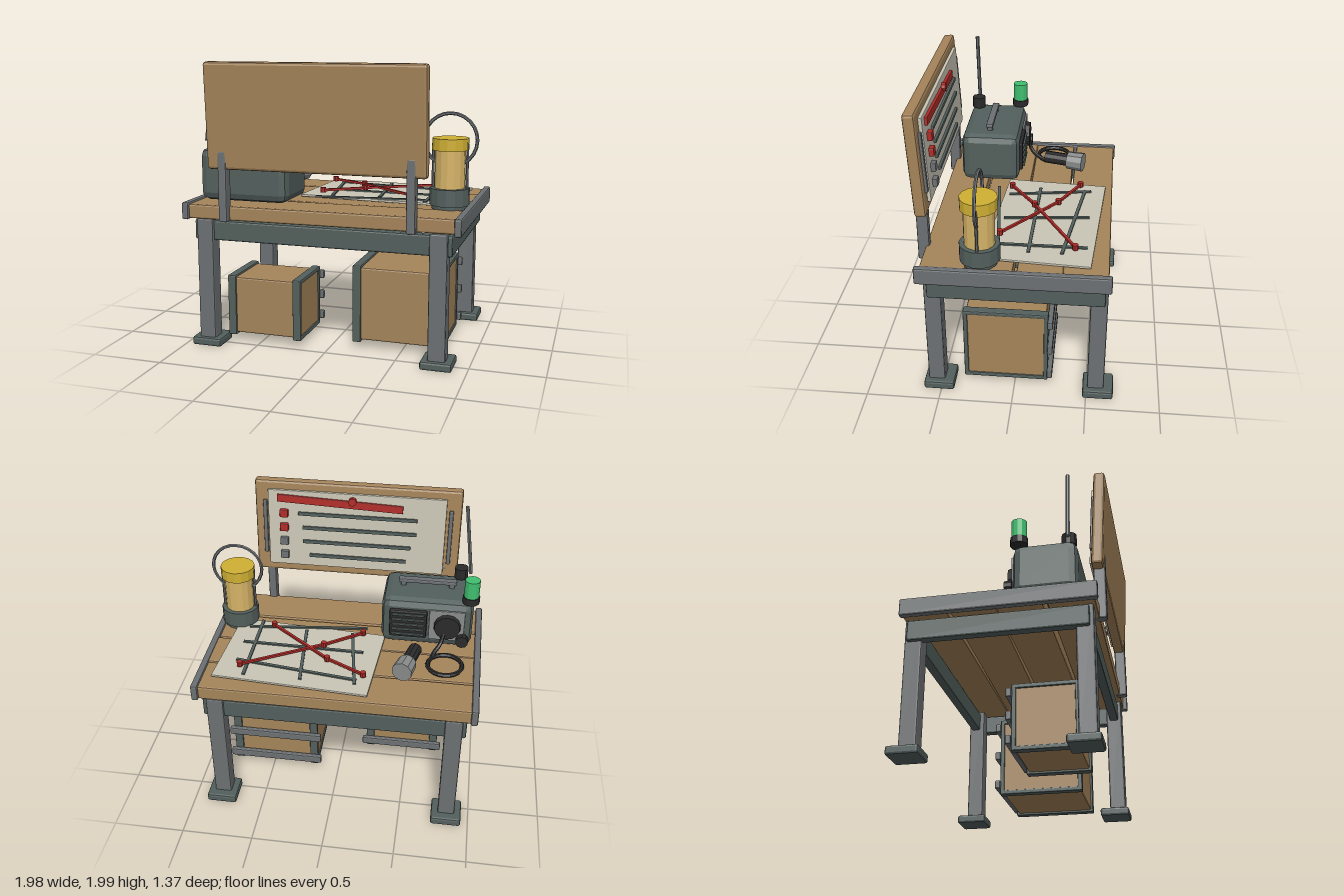
import * as THREE from 'three';
import { RoundedBoxGeometry } from 'three/addons/geometries/RoundedBoxGeometry.js';

const mat = (color) => new THREE.MeshStandardMaterial({ color, flatShading: true });
const wood = mat(0xa5845a), steel = mat(0x6c7072), dark = mat(0x53605d), black = mat(0x2a2a2a);
const cream = mat(0xcac6b6), red = mat(0xb02c28), green = mat(0x40c070);
const gold = mat(0xd0b034), glass = mat(0xd6b468), grey = mat(0x8a8c8c);

export function createModel() {
  const root = new THREE.Group();

  function add(name, geometry, material, pos, parent = root) {
    const m = new THREE.Mesh(geometry, material);
    m.name = name;
    m.position.set(...pos);
    parent.add(m);
    return m;
  }
  // Chamfered box from centre and size
  function box(name, material, pos, size, parent = root, bevel = 0.012) {
    const r = Math.min(bevel, Math.min(...size) / 4);
    return add(name, new RoundedBoxGeometry(...size, 1, r), material, pos, parent);
  }
  // Chamfered box from its limits on each axis
  function span(name, material, [x0, x1], [y0, y1], [z0, z1], parent = root, bevel) {
    return box(name, material, [(x0 + x1) / 2, (y0 + y1) / 2, (z0 + z1) / 2],
      [x1 - x0, y1 - y0, z1 - z0], parent, bevel);
  }
  const cyl = (name, material, pos, rTop, rBottom, h, sides = 12, parent = root) =>
    add(name, new THREE.CylinderGeometry(rTop, rBottom, h, sides), material, pos, parent);
  // Flat strip lying between two (x, z) points
  function strip(name, material, [x0, z0], [x1, z1], y, w, h) {
    const m = add(name, new THREE.BoxGeometry(Math.hypot(x1 - x0, z1 - z0), h, w), material,
      [(x0 + x1) / 2, y, (z0 + z1) / 2]);
    m.rotation.y = -Math.atan2(z1 - z0, x1 - x0);
  }

  // Table legs, feet and apron
  for (const x of [-0.84, 0.797]) {
    for (const z of [0.535, -0.563]) {
      box('leg', steel, [x, 0.49, z], [0.12, 0.87, 0.115]);
      box('foot', dark, [x, 0.04, z + (z > 0 ? -0.02 : -0.017)], [0.215, 0.06, 0.21], root, 0.018);
    }
  }
  for (const x of [-0.893, 0.853]) box('sideApron', dark, [x, 0.84, -0.018], [0.065, 0.14, 1.17]);
  for (const z of [0.535, -0.57]) box('longApron', dark, [-0.02, 0.84, z], [1.8, 0.14, 0.065]);

  // Table top planks, slightly uneven, with end rails
  const plankYaw = [-0.006, 0.008, -0.008, 0.005];
  [-0.475, -0.17, 0.14, 0.455].forEach((z, i) => {
    const plank = box('plank', wood, [-0.02, 0.973 + (i % 2) * 0.003, z], [1.87, 0.1, 0.297]);
    plank.rotation.y = plankYaw[i];
    plank.rotation.z = plankYaw[i] * 0.6;
  });
  for (const x of [-0.97, 0.927]) box('endRail', steel, [x, 0.977, -0.005], [0.048, 0.12, 1.27]);

  // Notice board on two posts
  for (const x of [-0.673, 0.627]) box('boardPost', steel, [x, 1.165, 0.615], [0.062, 0.49, 0.08]);
  const board = new THREE.Group();
  board.name = 'noticeBoard';
  board.position.set(-0.025, 1.64, 0.628);
  board.rotation.x = 0.055;
  root.add(board);
  box('boardPanel', wood, [0, 0, 0], [1.51, 0.718, 0.078], board, 0.025);
  box('boardPaper', cream, [0.005, 0, -0.05], [1.3, 0.59, 0.025], board, 0.005);
  for (const x of [-0.68, 0.68]) box('boardClip', steel, [x, 0, -0.043], [0.03, 0.42, 0.03], board);
  const header = box('headerStrip', red, [0.125, 0.222, -0.072], [0.92, 0.055, 0.022], board, 0.004);
  header.rotation.z = 0.04;
  cyl('boardPin', red, [0.03, 0.25, -0.088], 0.03, 0.03, 0.03, 8, board).rotation.x = Math.PI / 2;
  [[0.43, -0.44], [0.4, -0.44], [0.4, -0.4], [0.35, -0.37]].forEach(([x1, x0], i) => {
    const y = 0.125 - i * 0.11;
    box('listMark', i < 2 ? red : steel, [0.535, y, -0.078], [0.06, 0.058, 0.035], board, 0.005);
    box('listLine', dark, [(x0 + x1) / 2, y, -0.07], [x1 - x0, 0.025, 0.02], board, 0.004);
  });

  // Map sheet with grid lines, routes and pins
  const sheet = box('mapSheet', cream, [0.27, 1.038, -0.18], [1.09, 0.016, 0.717], root, 0.004);
  sheet.rotation.y = -0.069;
  [[[-0.157, -0.425], [0.705, -0.305]], [[-0.165, -0.1], [0.705, -0.085]],
    [[-0.16, 0.205], [0.705, 0.11]], [[-0.15, -0.47], [-0.06, 0.12]],
    [[0.225, -0.47], [0.28, 0.12]], [[0.62, -0.47], [0.62, 0.2]],
  ].forEach(([a, b]) => strip('mapLine', dark, a, b, 1.05, 0.022, 0.012));
  for (const route of [[[-0.2, -0.39], [0.07, -0.245], [0.52, 0.12]],
    [[-0.14, 0.105], [0.12, -0.08], [0.66, -0.39]]]) {
    route.forEach((p, i) => {
      cyl('mapPin', red, [p[0], 1.08, p[1]], 0.021, 0.021, 0.036, 8);
      if (i) strip('mapRoute', red, route[i - 1], p, 1.077, 0.018, 0.016);
    });
  }

  // Lantern
  const lantern = new THREE.Group();
  lantern.name = 'lantern';
  lantern.position.set(0.795, 0, 0.218);
  root.add(lantern);
  cyl('lanternBase', dark, [0, 1.108, 0], 0.134, 0.134, 0.115, 14, lantern);
  cyl('lanternFoot', dark, [0, 1.04, 0], 0.12, 0.12, 0.03, 14, lantern);
  cyl('lanternGlass', glass, [0, 1.3, 0], 0.102, 0.102, 0.28, 14, lantern);
  cyl('lanternCap', gold, [0, 1.46, 0], 0.122, 0.122, 0.08, 14, lantern);
  for (const s of [-1, 1]) cyl('lanternRod', steel, [s * 0.115, 1.31, 0], 0.01, 0.01, 0.31, 6, lantern);
  add('lanternHandle', new THREE.TorusGeometry(0.178, 0.012, 6, 24), steel, [0, 1.485, 0], lantern);

  // Radio with front panel, grille, speaker, handle, lamp and aerial
  span('radioBody', dark, [-0.915, -0.27], [1.035, 1.4], [0.075, 0.5], root, 0.055);
  span('radioPanel', grey, [-0.86, -0.61], [1.1, 1.34], [0.062, 0.085]);
  span('grille', black, [-0.595, -0.33], [1.11, 1.33], [0.05, 0.09]);
  for (let i = 0; i < 5; i++) box('grilleSlat', dark, [-0.462, 1.14 + i * 0.04, 0.045], [0.23, 0.014, 0.016]);
  cyl('speaker', black, [-0.74, 1.22, 0.055], 0.09, 0.1, 0.05, 14).rotation.x = -Math.PI / 2;
  cyl('tuningKnob', black, [-0.85, 1.12, 0.045], 0.045, 0.045, 0.05, 10).rotation.x = Math.PI / 2;
  span('radioHandle', steel, [-0.785, -0.37], [1.425, 1.455], [0.275, 0.325]);
  for (const x of [-0.75, -0.405]) box('handleStub', steel, [x, 1.415, 0.3], [0.04, 0.05, 0.04]);
  cyl('lampBase', black, [-0.89, 1.427, 0.12], 0.06, 0.06, 0.05, 12);
  cyl('lamp', green, [-0.89, 1.515, 0.12], 0.053, 0.053, 0.13, 12);
  cyl('aerialBase', black, [-0.81, 1.45, 0.438], 0.05, 0.05, 0.08, 10);
  cyl('aerial', steel, [-0.845, 1.71, 0.438], 0.014, 0.014, 0.53, 6).rotation.z = -0.125;

  // Coiled cable on the table
  add('cableCoil', new THREE.TorusGeometry(0.12, 0.016, 6, 20), black, [-0.745, 1.045, -0.16])
    .rotation.x = Math.PI / 2;
  const path = new THREE.CatmullRomCurve3([[-0.645, 1.045, -0.1], [-0.66, 1.06, -0.05],
    [-0.7, 1.1, 0.01], [-0.72, 1.17, 0.04]].map((p) => new THREE.Vector3(...p)));
  add('cable', new THREE.TubeGeometry(path, 10, 0.015, 6), black, [0, 0, 0]);

  // Torch lying on the table, its head towards the back
  const torch = new THREE.Group();
  torch.name = 'torch';
  torch.position.set(-0.476, 1.13, -0.34);
  torch.rotation.set(-Math.PI / 2, 0, -0.25);
  root.add(torch);
  cyl('torchHead', grey, [0, 0, 0], 0.072, 0.066, 0.12, 10, torch);
  cyl('torchBody', black, [0, -0.14, 0], 0.047, 0.047, 0.19, 10, torch);

  // Crates: wooden body, a frame round each end and rails across the back
  function crate([x0, x1], [y0, y1], [z0, z1], railHeights) {
    const g = new THREE.Group();
    g.name = 'crate';
    root.add(g);
    const t = 0.03, w = 0.06;
    span('crateBody', wood, [x0 + 0.01, x1 - 0.01], [y0 + 0.015, y1 - 0.015], [z0 + 0.015, z1 - 0.015], g);
    for (const ends of [[x0, x0 + w], [x1 - w, x1]]) {
      span('frameBottom', dark, ends, [y0, y0 + t], [z0, z1], g);
      span('frameTop', dark, ends, [y1 - t, y1], [z0, z1], g);
      span('frameFront', dark, ends, [y0, y1], [z1 - t, z1], g);
      span('frameBack', dark, ends, [y0, y1], [z0, z0 + t], g);
    }
    for (const y of railHeights) {
      span('crateRail', steel, [x0 - 0.028, x1 + 0.028], [y - 0.03, y + 0.03], [z0 - 0.032, z0 + 0.005], g);
    }
  }
  crate([-0.733, -0.187], [0.06, 0.498], [0.04, 0.47], [0.125, 0.28, 0.433]);
  crate([0.153, 0.79], [0.055, 0.607], [-0.23, 0.35], [0.122, 0.332, 0.54]);

  return root;
}
